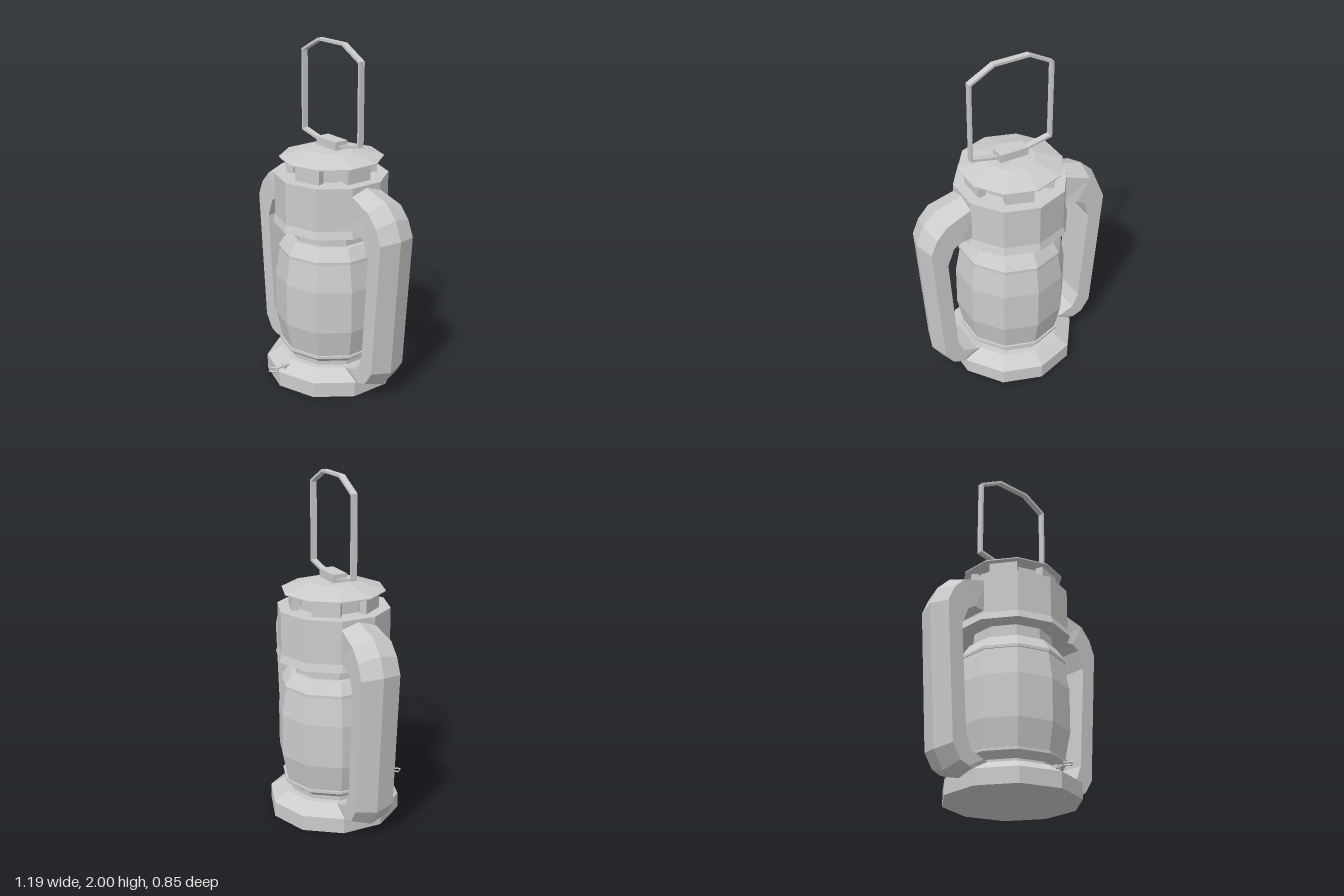
import * as THREE from 'three';

const SIDES = 10;
const mat = new THREE.MeshStandardMaterial({ color: 0xcccccc, flatShading: true });
const sheet = new THREE.MeshStandardMaterial({ color: 0xcccccc, flatShading: true, side: THREE.DoubleSide });

function add(parent, name, geometry, x = 0, y = 0, z = 0, material = mat) {
  const mesh = new THREE.Mesh(geometry, material);
  mesh.name = name;
  mesh.position.set(x, y, z);
  parent.add(mesh);
  return mesh;
}

// Ten-sided turned part from [radius, height] pairs, bottom to top
function turned(parent, name, profile) {
  const points = profile.map(([r, y]) => new THREE.Vector2(r, y));
  return add(parent, name, new THREE.LatheGeometry(points, SIDES), 0, 0, 0, sheet);
}

// Five-sided handle: each station has ridge, edge and inner points plus a half width
function handleGeometry(stations) {
  const pos = [], index = [], n = 5;
  for (const [ox, oy, ex, ey, ix, iy, w] of stations) {
    pos.push(ox, oy, 0, ex, ey, w, ix, iy, w, ix, iy, -w, ex, ey, -w);
  }
  for (let i = 0; i < stations.length - 1; i++) {
    for (let j = 0; j < n; j++) {
      const a = i * n + j, b = i * n + (j + 1) % n;
      index.push(a, b, a + n, b, b + n, a + n);
    }
  }
  const g = new THREE.BufferGeometry();
  g.setAttribute('position', new THREE.Float32BufferAttribute(pos, 3));
  g.setIndex(index);
  g.computeVertexNormals();
  return g;
}

export function createModel() {
  const root = new THREE.Group();
  root.name = 'lantern';
  const body = new THREE.Group();
  body.name = 'lanternBody';
  body.position.z = -0.04;
  root.add(body);

  // Stacked body
  turned(body, 'base', [[0, 0], [0.387, 0], [0.387, 0.09], [0.3, 0.145], [0, 0.145]]);
  turned(body, 'burnerRing', [[0.262, 0.14], [0.262, 0.17], [0.308, 0.205], [0.308, 0.22], [0.29, 0.22]]);
  turned(body, 'glassGlobe', [[0.295, 0.215], [0.328, 0.38], [0.328, 0.63], [0.3, 0.795]]);
  turned(body, 'globeCollar', [[0.29, 0.79], [0.308, 0.79], [0.308, 0.807], [0.262, 0.877], [0.2, 0.877]]);
  turned(body, 'neck', [[0.233, 0.87], [0.233, 0.96]]);
  turned(body, 'crown', [[0.22, 0.955], [0.339, 0.955], [0.326, 1.0], [0.326, 1.247], [0, 1.247]]);
  turned(body, 'ventCore', [[0.2, 1.245], [0.2, 1.345]]);
  turned(body, 'lid', [[0, 1.34], [0.298, 1.34], [0.298, 1.346], [0.14, 1.393], [0, 1.398]]);

  // Vent blocks on every other facet
  for (let i = 0; i < 5; i++) {
    const a = Math.PI / 10 + i * Math.PI * 0.4;
    const block = add(body, 'ventBlock', new THREE.BoxGeometry(0.161, 0.097, 0.045),
      Math.sin(a) * 0.225, 1.294, Math.cos(a) * 0.225);
    block.rotation.y = a;
  }

  // Side handles, top to bottom
  const handle = handleGeometry([
    [0.27, 1.243, 0.27, 1.213, 0.27, 1.01, 0.1],
    [0.47, 1.19, 0.46, 1.15, 0.38, 1.012, 0.118],
    [0.552, 1.11, 0.525, 1.08, 0.425, 0.985, 0.118],
    [0.597, 1.0, 0.563, 0.99, 0.465, 0.88, 0.118],
    [0.54, 0.185, 0.507, 0.2, 0.422, 0.27, 0.118],
    [0.475, 0.085, 0.455, 0.12, 0.385, 0.185, 0.118],
    [0.41, 0.065, 0.4, 0.098, 0.3, 0.153, 0.118],
    [0.25, 0.065, 0.25, 0.09, 0.22, 0.14, 0.1],
  ]);
  add(body, 'leftHandle', handle);
  add(body, 'rightHandle', handle).rotation.y = Math.PI;

  // Carrying bail and its mount
  add(body, 'bailMount', new THREE.BoxGeometry(0.175, 0.048, 0.085), 0, 1.423, -0.002);
  const loop = (pts) => [...pts, ...pts.map(([x, y]) => [-x, y]).reverse()]
    .map(([x, y]) => new THREE.Vector2(x, y));
  const bail = new THREE.Shape(loop([[0.085, 1.41], [0.256, 1.447], [0.256, 1.92], [0.108, 2.0]]));
  bail.holes.push(new THREE.Path(loop([[0.085, 1.425], [0.243, 1.459], [0.243, 1.911], [0.104, 1.986]])));
  add(body, 'bail', new THREE.ExtrudeGeometry(bail, { depth: 0.036, bevelEnabled: false }), 0, 0, -0.02);

  // Wick key at the front
  add(body, 'keySocket', new THREE.BoxGeometry(0.03, 0.022, 0.06), 0, 0.12, 0.335);
  add(body, 'keyStem', new THREE.BoxGeometry(0.011, 0.01, 0.06), 0, 0.12, 0.375);
  const ring = add(body, 'keyRing', new THREE.TorusGeometry(0.031, 0.005, 4, 4), 0, 0.12, 0.43);
  ring.rotation.x = Math.PI / 2;

  return root;
}
